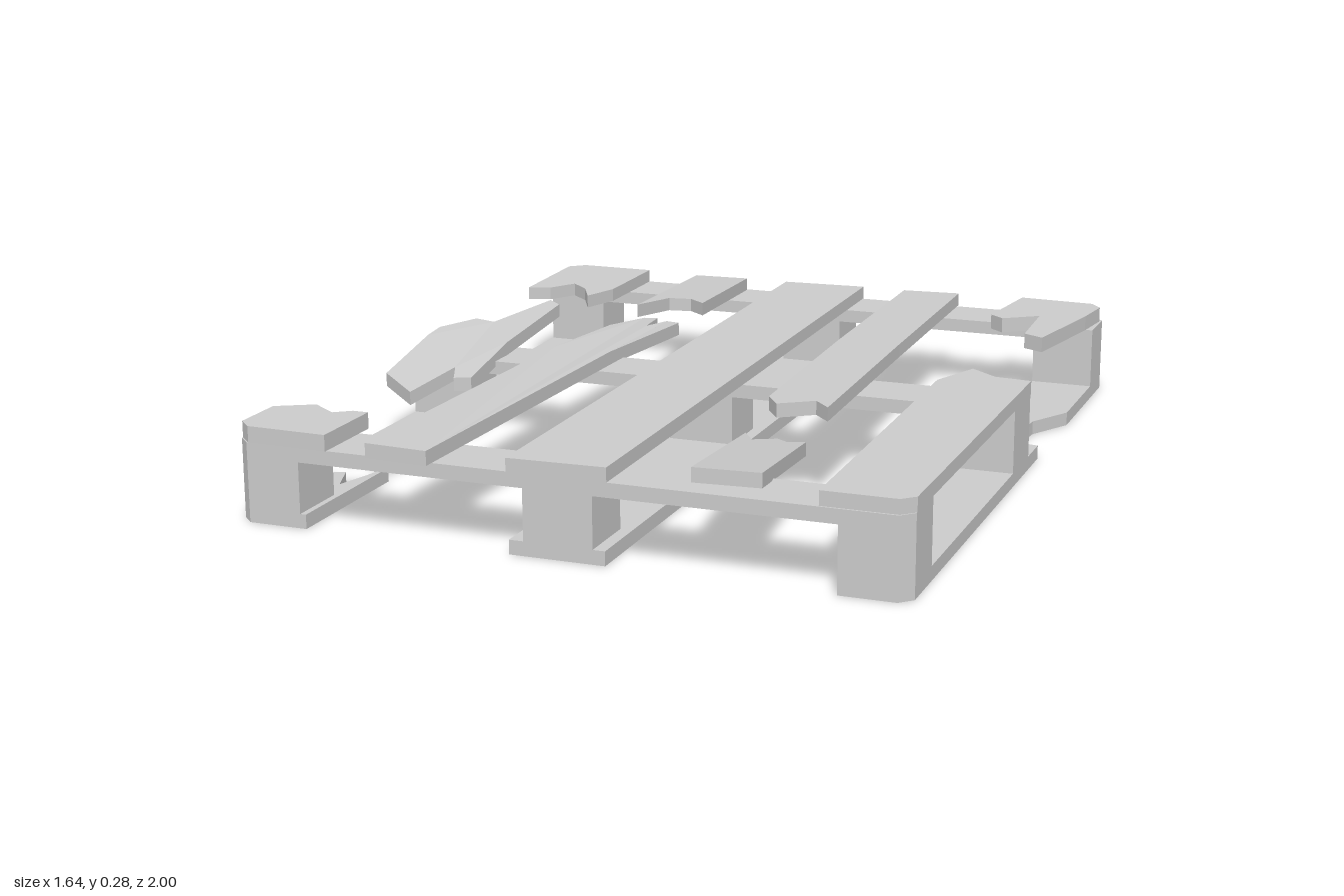
import * as THREE from 'three';

const T = 0.035;                 // board thickness
const DECK = 0.195;              // underside of the deck boards
const material = new THREE.MeshStandardMaterial({ color: 0xcccccc, flatShading: true });

// Upright slab from a plan outline of [x, z] points; lift(x, z) bends it.
function slab(name, outline, y, height, lift) {
  const shape = new THREE.Shape(outline.map(([x, z]) => new THREE.Vector2(x, -z)));
  const geo = new THREE.ExtrudeGeometry(shape, { depth: height, bevelEnabled: false });
  geo.rotateX(-Math.PI / 2);
  geo.translate(0, y, 0);
  if (lift) {
    const p = geo.attributes.position;
    for (let i = 0; i < p.count; i++) p.setY(i, p.getY(i) + lift(p.getX(i), p.getZ(i)));
    geo.computeVertexNormals();
  }
  const mesh = new THREE.Mesh(geo, material);
  mesh.name = name;
  return mesh;
}

// Rectangle whose corners are cut where they meet the pallet's outer corners.
function rect(x0, x1, z0, z1, c = 0.03) {
  const out = [];
  for (const [x, z, first] of [[x0, z0, 'z'], [x1, z0, 'x'], [x1, z1, 'z'], [x0, z1, 'x']]) {
    if (Math.abs(x) < 0.8 || Math.abs(z) < 0.95) { out.push([x, z]); continue; }
    const alongZ = [x, z - Math.sign(z) * c], alongX = [x - Math.sign(x) * c, z];
    out.push(...(first === 'z' ? [alongZ, alongX] : [alongX, alongZ]));
  }
  return out;
}

export function createModel() {
  const g = new THREE.Group();
  g.name = 'brokenPallet';
  const add = (...args) => g.add(slab(...args));

  // Nine spacer blocks
  const xs = [[-0.82, -0.655], [-0.085, 0.085], [0.655, 0.82]];
  const zs = [[-0.985, -0.825], [-0.085, 0.075], [0.815, 0.975]];
  for (const [x0, x1] of xs)
    for (const [z0, z1] of zs) add('spacerBlock', rect(x0, x1, z0, z1), T, 0.125);

  // Three cross boards over the blocks
  for (const [z0, z1] of zs) add('crossBoard', rect(-0.82, 0.82, z0, z1), 0.16, T);

  // Bottom runners: centre whole, right notched, left snapped in two
  add('centreRunner', rect(-0.12, 0.115, -0.985, 0.975), 0, T);
  add('notchedRunner', [
    [0.655, -0.985], [0.79, -0.985], [0.82, -0.955], [0.82, -0.53], [0.755, -0.41],
    [0.735, -0.17], [0.77, -0.2], [0.82, -0.19], [0.82, 0.945], [0.79, 0.975], [0.655, 0.975],
  ], 0, T);
  add('brokenRunnerBack', [
    [-0.79, -0.985], [-0.66, -0.985], [-0.66, 0.5], [-0.705, 0.52], [-0.76, 0.44],
    [-0.82, 0.47], [-0.82, -0.955],
  ], 0, T);
  add('brokenRunnerFront', [
    [-0.81, 0.67], [-0.72, 0.64], [-0.685, 0.735], [-0.64, 0.57], [-0.64, 0.975],
    [-0.79, 0.975], [-0.82, 0.945],
  ], 0, T);

  // Whole centre deck board
  add('centreDeckBoard', [[-0.13, -0.975], [0.105, -0.99], [0.12, 0.975], [-0.12, 0.985]], DECK, T);

  // Left edge deck board, in three pieces
  add('leftDeckBack', [
    [-0.78, -0.985], [-0.57, -0.985], [-0.57, -0.7], [-0.605, -0.595], [-0.65, -0.68],
    [-0.705, -0.73], [-0.75, -0.655], [-0.81, -0.635], [-0.82, -0.95],
  ], DECK, T);
  add('leftDeckMiddle', [
    [-0.815, -0.07], [-0.75, -0.165], [-0.69, -0.15], [-0.62, -0.37], [-0.58, -0.34],
    [-0.58, 0], [-0.58, 0.22], [-0.625, 0.23], [-0.65, 0.17], [-0.7, 0.33], [-0.815, 0.24],
    [-0.815, 0],
  ], DECK, T, (x, z) => (z > 0 ? -0.2 : -0.09) * z);
  add('leftDeckFront', [
    [-0.82, 0.8], [-0.73, 0.75], [-0.66, 0.8], [-0.62, 0.77], [-0.58, 0.77],
    [-0.58, 0.98], [-0.785, 0.975], [-0.82, 0.94],
  ], DECK, T + 0.005);

  // Left inner deck board: short raised end over a long sagging one
  add('innerLeftDeckBack', [
    [-0.41, -0.965], [-0.255, -0.98], [-0.195, -0.45], [-0.25, -0.505], [-0.31, -0.49], [-0.34, -0.33],
  ], DECK, T, (x, z) => 0.08 * (z + 0.97));
  add('innerLeftDeckFront', [
    [-0.43, -0.35], [-0.385, -0.49], [-0.35, -0.5], [-0.335, -0.38], [-0.31, -0.47], [-0.27, -0.46],
    [-0.283, 0], [-0.31, 1], [-0.47, 0.99], [-0.442, 0],
  ], DECK, T, (x, z) => 0.05 * Math.min(z, 0));

  // Right inner deck board: long piece and a dropped front piece
  add('innerRightDeckBack', [
    [0.23, -0.985], [0.39, -1], [0.415, -0.3], [0.445, 0.4], [0.4, 0.35], [0.32, 0.41],
    [0.28, 0.35], [0.25, -0.3],
  ], DECK, T, (x, z) => 0.015 * (z + 1));
  add('innerRightDeckFront', [
    [0.21, 0.32], [0.265, 0.43], [0.31, 0.37], [0.345, 0.41], [0.385, 0.38], [0.475, 0.95], [0.32, 0.975],
  ], DECK, T, (x, z) => 0.165 * (z - 0.84));

  // Right edge deck board, middle missing
  add('rightDeckBack', [
    [0.58, -0.99], [0.785, -0.98], [0.815, -0.94], [0.8, -0.82], [0.745, -0.53], [0.69, -0.56],
    [0.68, -0.78], [0.59, -0.715], [0.55, -0.75],
  ], DECK, T + 0.005);
  add('rightDeckFront', [
    [0.597, -0.02], [0.652, -0.16], [0.725, -0.1], [0.82, -0.09], [0.82, 0.94], [0.79, 0.97], [0.61, 0.97],
  ], DECK, T);

  return g;
}
